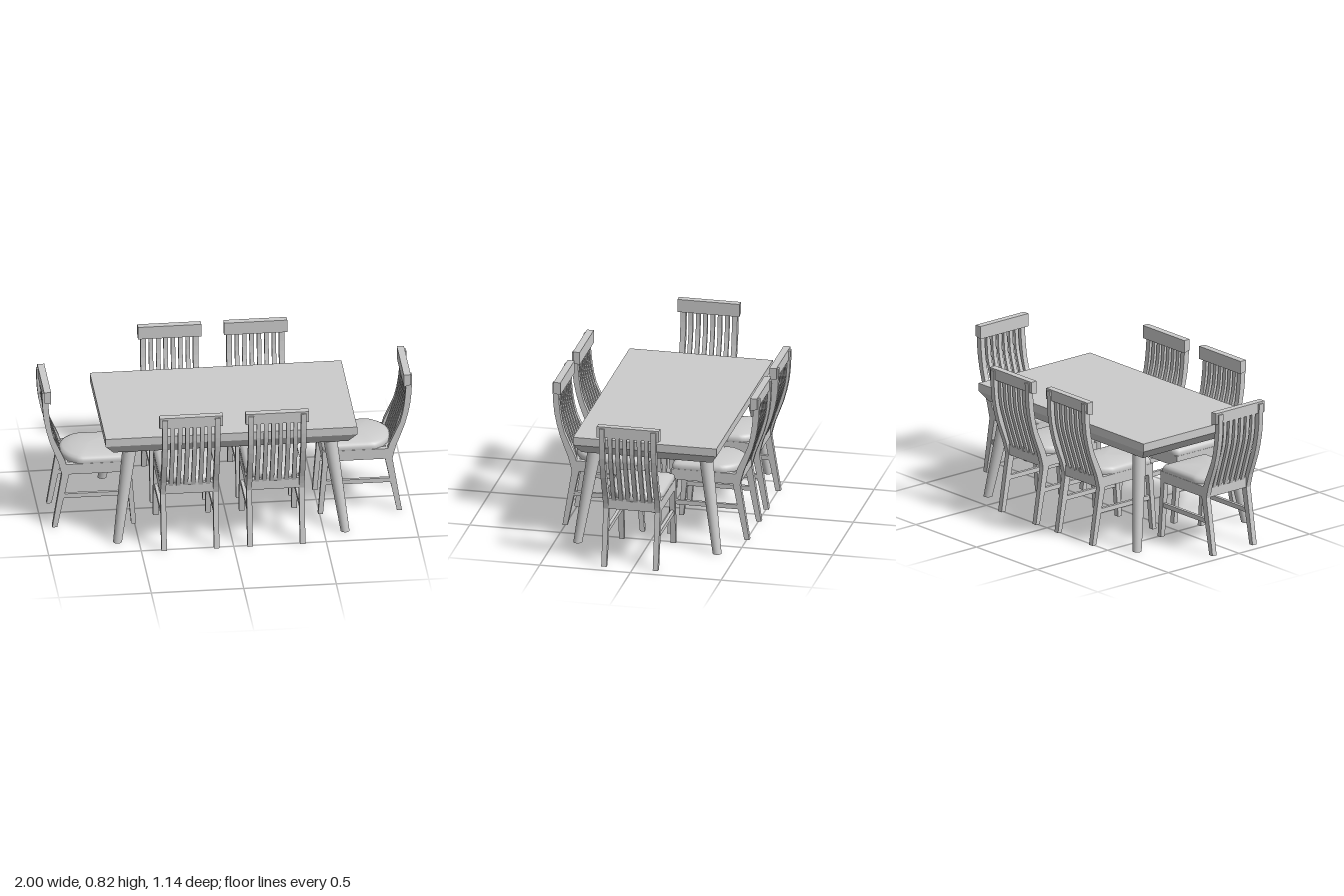
import * as THREE from 'three';

const material = new THREE.MeshStandardMaterial({ color: 0xcccccc });

function add(parent, name, geometry, x = 0, y = 0, z = 0) {
  const mesh = new THREE.Mesh(geometry, material);
  mesh.name = name;
  mesh.position.set(x, y, z);
  parent.add(mesh);
  return mesh;
}

// Side outline given as [z, y] points, extruded to a width along x and centred on x = 0
function sideProfile(points, width) {
  const shape = new THREE.Shape(points.map(([z, y]) => new THREE.Vector2(z, y)));
  const geometry = new THREE.ExtrudeGeometry(shape, { depth: width, bevelEnabled: false });
  return geometry.translate(0, 0, -width / 2).rotateY(-Math.PI / 2);
}

function smoothLine(points, n = 10) {
  const curve = new THREE.SplineCurve(points.map(([z, y]) => new THREE.Vector2(z, y)));
  return curve.getPoints(n).map((p) => [p.x, p.y]);
}

// Cushion: a lathed dome whose round outline is pushed out to a straight front and curved back
function cushionGeometry() {
  const profile = [[0, 0.362], [0.97, 0.362], [1, 0.374], [1, 0.39], [0.97, 0.404],
    [0.88, 0.413], [0.65, 0.422], [0.35, 0.428], [0, 0.43]];
  const geometry = new THREE.LatheGeometry(profile.map(([r, y]) => new THREE.Vector2(r, y)), 56);
  const pos = geometry.attributes.position;
  for (let i = 0; i < pos.count; i++) {
    const x = pos.getX(i), z = pos.getZ(i);
    const r = Math.hypot(x, z);
    if (r < 1e-6) continue;
    const c = Math.abs(x) / r, s = z / r;
    const reach = Math.min(0.155 / Math.max(c, 1e-6), s > 0 ? 0.21 / Math.max(s, 1e-6) : 0.17);
    pos.setX(i, x * reach);
    pos.setZ(i, z * reach);
  }
  geometry.computeVertexNormals();
  return geometry.translate(0, 0, 0.275);
}

// Chair facing +z, with the rear of its back at z = 0
function createChair() {
  const chair = new THREE.Group();
  chair.name = 'chair';

  // Rear posts: splayed leg below, curved back above
  const rear = smoothLine([[0.106, 0.315], [0.086, 0.394], [0.04, 0.516], [0.011, 0.638], [0.002, 0.74], [0, 0.812]]);
  const front = smoothLine([[0.03, 0.812], [0.034, 0.74], [0.043, 0.638], [0.066, 0.53], [0.122, 0.405], [0.146, 0.315]]);
  const post = sideProfile([[0.055, 0], ...rear, ...front, [0.082, 0]], 0.029);
  const frontLeg = sideProfile([[0.482, 0], [0.453, 0.32], [0.483, 0.32], [0.508, 0]], 0.029);
  for (const side of [-1, 1]) {
    const x = side * 0.142;
    add(chair, 'rearPost', post, x);
    add(chair, 'frontLeg', frontLeg, x);
    add(chair, 'sideStretcher', new THREE.BoxGeometry(0.018, 0.025, 0.37), x, 0.183, 0.285);
    add(chair, 'sideRail', new THREE.BoxGeometry(0.029, 0.06, 0.375), x, 0.345, 0.298);
  }

  // Seat
  add(chair, 'frontRail', new THREE.BoxGeometry(0.313, 0.06, 0.03), 0, 0.345, 0.47);
  add(chair, 'rearRail', new THREE.BoxGeometry(0.27, 0.06, 0.032), 0, 0.345, 0.125);
  add(chair, 'seatBoard', new THREE.BoxGeometry(0.28, 0.012, 0.35), 0, 0.365, 0.297);
  add(chair, 'cushion', cushionGeometry());

  // Back slats
  const slatRear = smoothLine([[0.106, 0.365], [0.057, 0.516], [0.023, 0.638], [0.014, 0.765]], 8);
  const slatFront = slatRear.map(([z, y]) => [z + 0.018, y]).reverse();
  const slat = sideProfile([...slatRear, ...slatFront], 0.023);
  for (let i = 0; i < 6; i++) add(chair, 'backSlat', slat, (i - 2.5) * 0.04);

  // Head rail
  add(chair, 'headRail', sideProfile([[0.009, 0.76], [0.009, 0.822], [0.047, 0.822], [0.047, 0.75]], 0.342));
  return chair;
}

function createTable() {
  const table = new THREE.Group();
  table.name = 'table';
  add(table, 'tableTop', new THREE.BoxGeometry(1.36, 0.045, 0.79), 0, 0.603, 0);

  // Chamfered underside, narrowing downward
  const under = new THREE.BoxGeometry(1.36, 0.054, 0.79);
  const pos = under.attributes.position;
  for (let i = 0; i < pos.count; i++) {
    if (pos.getY(i) > 0) continue;
    pos.setX(i, Math.sign(pos.getX(i)) * 0.635);
    pos.setZ(i, Math.sign(pos.getZ(i)) * 0.36);
  }
  under.computeVertexNormals();
  add(table, 'tableUnderside', under, 0, 0.554, 0);

  // Tapered legs, sheared outward so the feet stay flat
  for (const sx of [-1, 1]) {
    for (const sz of [-1, 1]) {
      const leg = new THREE.CylinderGeometry(0.038, 0.024, 0.53, 32).translate(0, 0.265, 0);
      leg.applyMatrix4(new THREE.Matrix4().set(
        1, -sx * 0.14, 0, sx * 0.615,
        0, 1, 0, 0,
        0, -sz * 0.15, 1, sz * 0.384,
        0, 0, 0, 1));
      add(table, 'tableLeg', leg);
    }
  }
  table.position.z = -0.006;
  return table;
}

export function createModel() {
  const model = new THREE.Group();
  model.name = 'diningSet';
  model.add(createTable());

  // Two chairs on each long side, one at each end: x, z, turn
  const places = [
    [-0.235, -0.57, 0], [0.23, -0.57, 0],
    [-0.235, 0.57, Math.PI], [0.23, 0.57, Math.PI],
    [-1, 0.017, Math.PI / 2], [1, 0.017, -Math.PI / 2],
  ];
  for (const [x, z, turn] of places) {
    const chair = createChair();
    chair.position.set(x, 0, z);
    chair.rotation.y = turn;
    model.add(chair);
  }
  return model;
}
